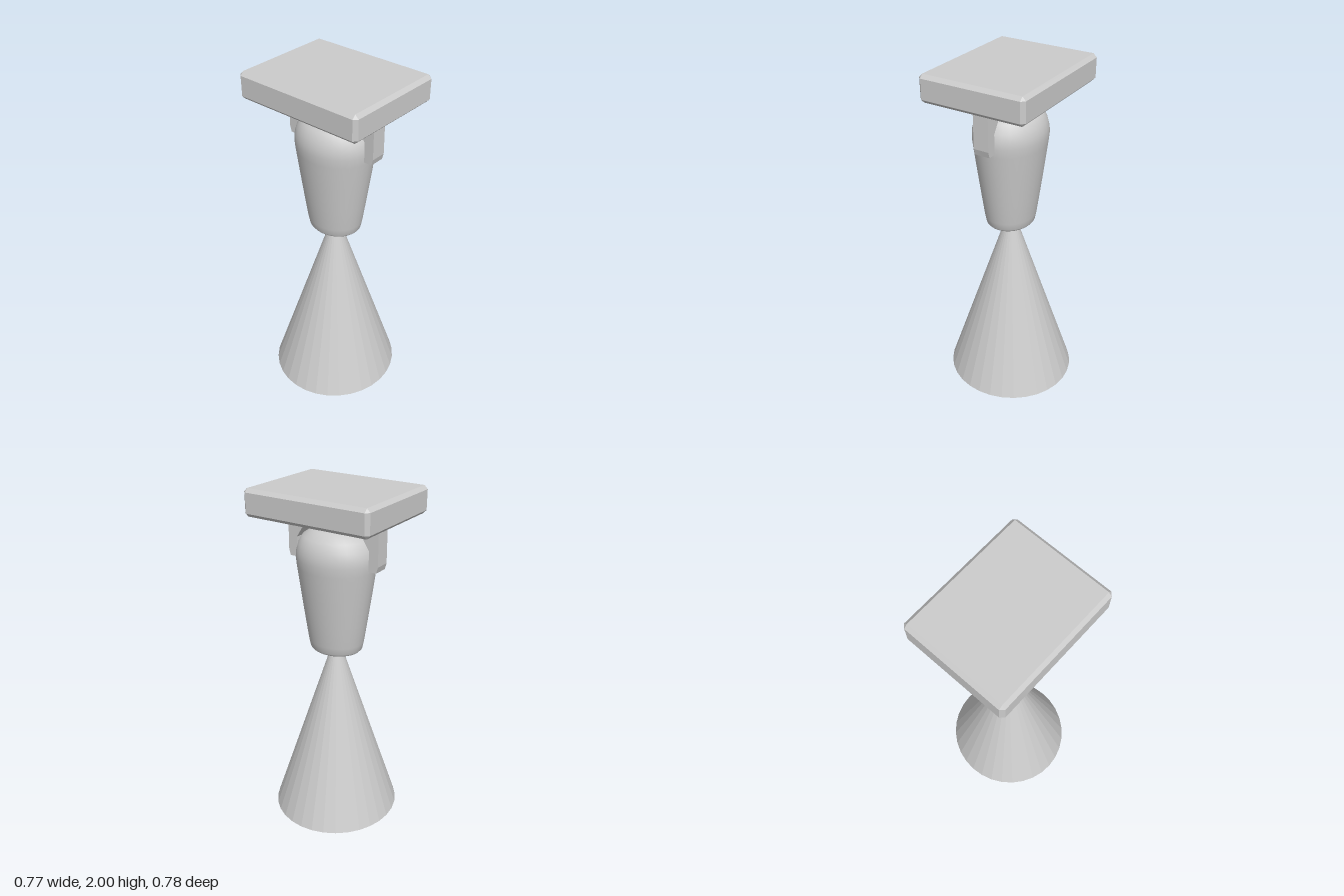
import * as THREE from 'three';
import { ConvexGeometry } from 'three/addons/geometries/ConvexGeometry.js';

const grey = (options = {}) => new THREE.MeshStandardMaterial({ color: 0xcccccc, ...options });

function addMesh(group, name, geometry, material) {
  const mesh = new THREE.Mesh(geometry, material);
  mesh.name = name;
  group.add(mesh);
  return mesh;
}

// Box with every edge cut at 45 degrees
function chamferedBox(hx, hy, hz, c) {
  const points = [];
  for (const x of [-1, 1]) for (const y of [-1, 1]) for (const z of [-1, 1]) {
    points.push(
      new THREE.Vector3(x * hx, y * (hy - c), z * (hz - c)),
      new THREE.Vector3(x * (hx - c), y * hy, z * (hz - c)),
      new THREE.Vector3(x * (hx - c), y * (hy - c), z * hz)
    );
  }
  return new ConvexGeometry(points);
}

export function createModel() {
  const group = new THREE.Group();

  // Open faceted light cone, its tip inside the lamp
  const cone = new THREE.ConeGeometry(0.386, 1.16, 32, 1, true);
  cone.scale(1, 1, 0.975).translate(0, 0.58, 0);
  addMesh(group, 'lightCone', cone, grey({ flatShading: true, side: THREE.DoubleSide }));

  // Oval lamp housing with a rounded top and a recessed mouth
  const profile = [
    [0, 1.17], [0.085, 1.17], [0.1, 1.15], [0.108, 1.075], [0.115, 1.066], [0.126, 1.066],
    [0.135, 1.078], [0.143, 1.12], [0.16, 1.25], [0.18, 1.41], [0.198, 1.56], [0.203, 1.61],
    [0.2, 1.65], [0.19, 1.69], [0.167, 1.735], [0.12, 1.771], [0.055, 1.791], [0, 1.797]
  ].map(([r, y]) => new THREE.Vector2(r, y));
  const housing = new THREE.LatheGeometry(profile, 32);
  housing.scale(1, 1, 1.16);
  addMesh(group, 'lampHousing', housing, grey({ side: THREE.DoubleSide }));

  // Yoke: arched bracket in the yz plane, an arm at the front and the back
  const half = [
    [0.17, 1.8], [0.235, 1.7], [0.235, 1.585], [0.282, 1.585], [0.292, 1.62], [0.292, 1.855]
  ];
  const mirrored = half.map(([z, y]) => [-z, y]).reverse();
  const outline = [...half, ...mirrored].map(([z, y]) => new THREE.Vector2(z, y));
  const yoke = new THREE.ExtrudeGeometry(new THREE.Shape(outline), { depth: 0.09, bevelEnabled: false });
  yoke.translate(0, 0, -0.045).rotateY(Math.PI / 2);
  addMesh(group, 'yoke', yoke, grey({ flatShading: true }));

  // Chamfered mounting plate
  const plate = addMesh(group, 'mountingPlate', chamferedBox(0.31, 0.076, 0.388, 0.02), grey({ flatShading: true }));
  plate.position.y = 1.924;

  return group;
}
